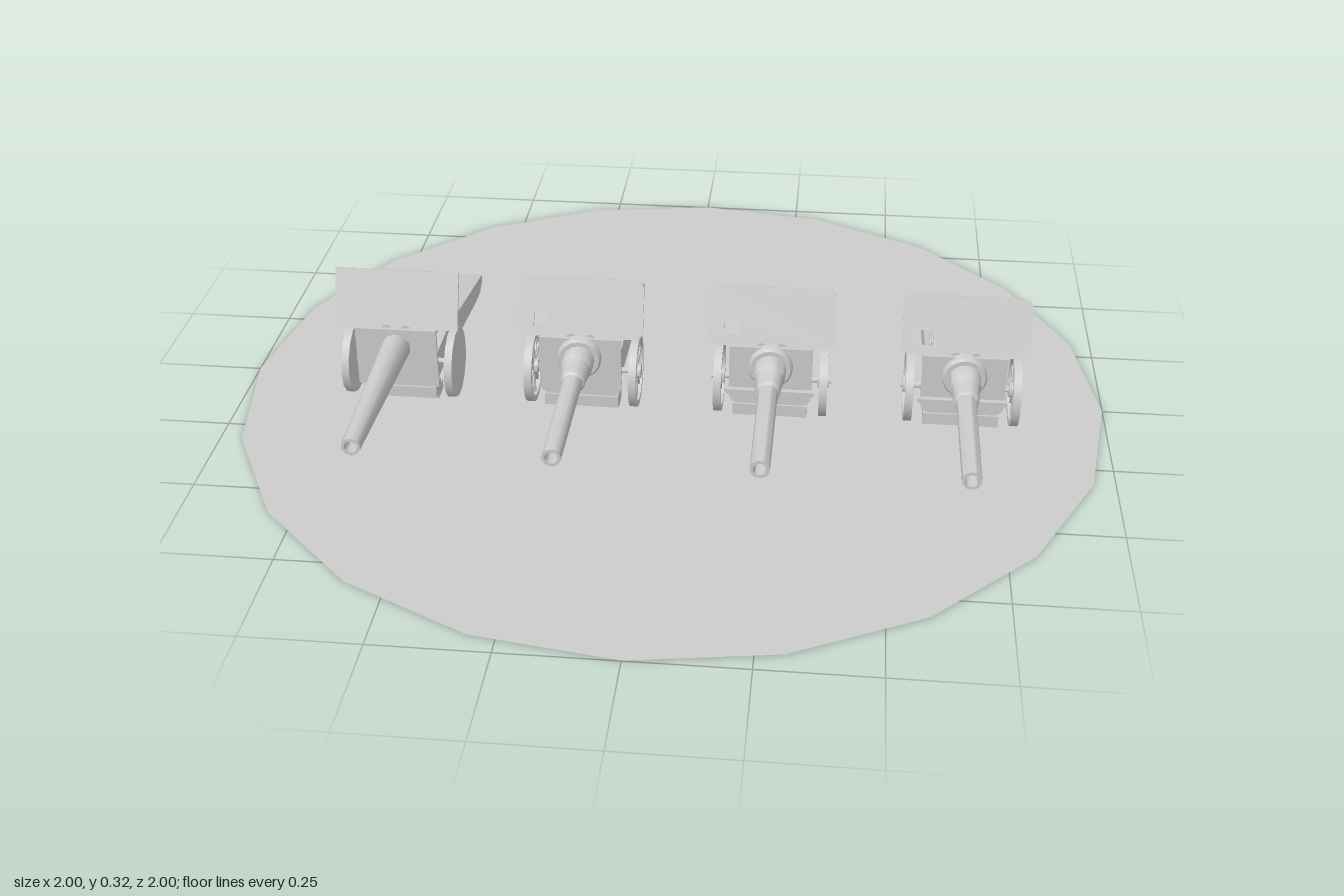
import * as THREE from 'three';
import { toCreasedNormals } from 'three/addons/utils/BufferGeometryUtils.js';

const material = new THREE.MeshStandardMaterial({ color: 0xcccccc, side: THREE.DoubleSide });

function add(group, name, geometry, x = 0, y = 0, z = 0) {
  const mesh = new THREE.Mesh(toCreasedNormals(geometry, 0.7), material);
  mesh.name = name;
  mesh.position.set(x, y, z);
  group.add(mesh);
  return mesh;
}
const box = (w, h, d) => new THREE.BoxGeometry(w, h, d);

// Turned part along z from [z, radius] pairs
const turned = (profile, sides) =>
  new THREE.LatheGeometry(profile.map(([z, r]) => new THREE.Vector2(r, z)), sides).rotateX(Math.PI / 2);

// Side profile in [z, y], given a width across x
function slab(profile, width) {
  const shape = new THREE.Shape(profile.map(([z, y]) => new THREE.Vector2(z, y)));
  return new THREE.ExtrudeGeometry(shape, { depth: width, bevelEnabled: false })
    .rotateY(-Math.PI / 2).translate(width / 2, 0, 0);
}

// Panel outline, standing on y = 0, with separate bottom and top corner radii
function panelShape(w, h, bottom, top) {
  const s = new THREE.Shape(), a = w / 2;
  s.moveTo(-a + bottom, 0).lineTo(a - bottom, 0);
  if (bottom) s.quadraticCurveTo(a, 0, a, bottom);
  s.lineTo(a, h - top);
  if (top) s.quadraticCurveTo(a, h, a - top, h);
  s.lineTo(-a + top, h);
  if (top) s.quadraticCurveTo(-a, h, -a, h - top);
  s.lineTo(-a, bottom);
  if (bottom) s.quadraticCurveTo(-a, 0, -a + bottom, 0);
  return s;
}
const plate = (shape, depth) => new THREE.ExtrudeGeometry(shape, { depth, bevelEnabled: false, curveSegments: 4 });

function makeWheel(detail, sides) {
  const wheel = new THREE.Group();
  wheel.name = 'wheel';
  if (detail === 0) {
    add(wheel, 'wheelDisc', new THREE.CylinderGeometry(0.083, 0.083, 0.018, 14).rotateZ(Math.PI / 2));
    return wheel;
  }
  const rim = turned([[-0.009, 0.07], [-0.009, 0.083], [0.009, 0.083], [0.009, 0.07], [-0.009, 0.07]], sides + 8);
  add(wheel, 'rim', rim.rotateY(Math.PI / 2));
  add(wheel, 'hub', new THREE.CylinderGeometry(0.017, 0.017, 0.026, sides).rotateZ(Math.PI / 2));
  for (let i = 0; i < 10; i++) {
    const spoke = add(wheel, 'spoke', box(0.008, 0.064, 0.009).translate(0, 0.042, 0));
    spoke.rotation.x = i * Math.PI / 5;
  }
  return wheel;
}

const trailTop = (z) => 0.105 + 0.175 * (z + 0.08);

function makeCarriage(gun, detail, sides) {
  // Sloping tail and the open box in front of it
  add(gun, 'trailTail', slab([[-0.19, 0.026], [-0.38, 0.004], [-0.43, 0.004], [-0.46, 0.02],
    [-0.46, trailTop(-0.46)], [-0.19, trailTop(-0.19)]], 0.16));
  for (const side of [-1, 1]) {
    add(gun, 'trailSide', slab([[-0.19, 0.026], [0.04, 0.045], [0.12, 0.045], [0.12, 0.11],
      [-0.05, 0.11], [-0.19, trailTop(-0.19)]], 0.022), side * 0.069);
    add(gun, 'foot', box(0.025, 0.025, 0.05), side * 0.07, 0.0125, 0.07);
    add(gun, 'cradleBracket', slab([[-0.06, 0.1], [0.11, 0.1], [0.09, 0.165], [-0.01, 0.165]], 0.014), side * 0.052);
    const wheel = makeWheel(detail, sides);
    wheel.position.set(side * 0.12, 0.088, 0.068);
    gun.add(wheel);
  }
  add(gun, 'trailFloor', slab([[-0.2, 0.025], [0.12, 0.045], [0.12, 0.055], [-0.2, 0.037]], 0.12));
  add(gun, 'frontBeam', box(0.17, 0.028, 0.05), 0, 0.034, 0.1);
  add(gun, 'axle', new THREE.CylinderGeometry(0.007, 0.007, detail > 1 ? 0.275 : 0.24, 8).rotateZ(Math.PI / 2), 0, 0.088, 0.068);

  // Hatch and grab handles on the tail
  if (detail > 0) {
    add(gun, 'hatch', box(0.08, 0.008, 0.042), 0, trailTop(-0.295) + 0.001, -0.295).rotation.x = -0.173;
    for (const side of [-1, 1]) {
      add(gun, 'handle', box(0.006, 0.006, 0.034), side * 0.035, trailTop(-0.365) + 0.012, -0.365).rotation.x = -0.173;
      for (const dz of [-0.014, 0.014]) {
        add(gun, 'handlePost', box(0.008, 0.014, 0.006), side * 0.035, trailTop(-0.365 + dz) + 0.005, -0.365 + dz);
      }
      add(gun, 'tailCleat', box(0.012, 0.012, 0.02), side * 0.07, trailTop(-0.365) + 0.004, -0.365);
    }
  }
}

function makeShield(gun, detail) {
  const radius = detail ? 0.022 : 0;
  const upper = panelShape(0.285, 0.135, radius, radius);
  if (detail) {
    // Sight window
    const hole = [[-0.107, 0.022], [-0.107, 0.055], [-0.074, 0.055], [-0.074, 0.022]];
    upper.holes.push(new THREE.Path(hole.map(([x, y]) => new THREE.Vector2(x, y))));
  }
  add(gun, 'upperShield', plate(upper, 0.006), 0, 0.196, 0.115).rotation.x = -0.38;
  add(gun, 'lowerShield', plate(panelShape(0.188, 0.145, detail ? 0.025 : 0, 0), 0.008), 0, 0.055, 0.122);
  if (detail > 1) add(gun, 'stepBar', box(0.2, 0.01, 0.014), 0, 0.09, 0.135);
  if (detail > 2) {
    // Riveted centre seam
    for (const side of [-1, 1]) {
      const seam = add(gun, 'shieldSeam', box(0.004, 0.13, 0.003).translate(0, 0.067, 0.007), side * 0.01, 0.196, 0.115);
      seam.rotation.x = -0.38;
    }
  }
}

function makeBarrel(gun, detail, sides) {
  const axisY = 0.155;
  // Tube with a hollow muzzle
  const muzzle = [[0.553, 0.021], [0.553, 0.014], [0.5, 0.014], [0.5, 0]];
  const tube = detail
    ? [[0.1, 0.036], [0.185, 0.035], [0.19, 0.031], [0.245, 0.028], [0.25, 0.022], ...muzzle]
    : [[0.1, 0.034], ...muzzle];
  add(gun, 'barrel', turned(tube, sides), 0, axisY);
  add(gun, 'barrelJacket', turned([[-0.04, 0], [-0.04, 0.034], [0.12, 0.036]], sides), 0, axisY);
  if (detail) {
    add(gun, 'cradleCollar', turned([[0.1, 0.05], [0.142, 0.05], [0.147, 0.046], [0.147, 0.03]], sides), 0, axisY);
  }
  // Breech and its block
  add(gun, 'breech', turned([[-0.115, 0], [-0.115, 0.037], [-0.105, 0.043], [-0.035, 0.044], [-0.03, 0.03]], sides), 0, axisY);
  add(gun, 'breechBlock', turned([[-0.13, 0], [-0.13, 0.02], [-0.114, 0.024]], sides), 0, axisY);
  add(gun, 'cradle', box(0.07, 0.04, 0.2), 0, 0.12, 0.01);

  // Recoil cylinders above the barrel
  for (const side of [-1, 1]) {
    add(gun, 'recoilCylinder', new THREE.CylinderGeometry(0.012, 0.012, 0.16, Math.max(8, sides / 2)).rotateX(Math.PI / 2),
      side * 0.022, 0.195, 0.04);
    add(gun, 'trunnion', new THREE.CylinderGeometry(0.018, 0.018, 0.02, sides).rotateZ(Math.PI / 2), side * 0.06, 0.14, 0.04);
    if (detail) add(gun, 'shieldBrace', slab([[0.02, 0.16], [0.028, 0.155], [0.1, 0.245], [0.093, 0.25]], 0.006), side * 0.06);
  }
  add(gun, 'recoilYoke', box(0.066, 0.026, 0.014), 0, 0.198, -0.04);

  // Sight and aiming handwheel on one side
  add(gun, 'sight', box(0.014, 0.02, 0.035), -0.038, 0.203, -0.06);
  if (detail) {
    add(gun, 'sightArm', box(0.012, 0.012, 0.05), -0.05, 0.175, -0.045);
    const handwheel = new THREE.TorusGeometry(0.02, 0.003, 6, sides).rotateY(Math.PI / 2);
    add(gun, 'handwheel', handwheel, -0.07, 0.13, -0.06);
    add(gun, 'handwheelShaft', box(0.03, 0.006, 0.006), -0.058, 0.13, -0.06);
    add(gun, 'handwheelSpoke', box(0.004, 0.038, 0.005), -0.07, 0.13, -0.06);
  }
}

export function createModel() {
  const model = new THREE.Group();
  model.name = 'gunDisplay';

  // Flat twenty-sided ground disc
  add(model, 'baseDisc', new THREE.CircleGeometry(1, 20).rotateX(-Math.PI / 2).rotateY(Math.PI / 2), 0, 0.001, 0);

  // Four field guns, from the simplest to the most detailed
  [-0.625, -0.2, 0.234, 0.667].forEach((x, detail) => {
    const gun = new THREE.Group();
    gun.name = 'fieldGun' + (detail + 1);
    const sides = [10, 16, 20, 24][detail];
    makeCarriage(gun, detail, sides);
    makeShield(gun, detail);
    makeBarrel(gun, detail, sides);
    gun.position.x = x;
    model.add(gun);
  });
  return model;
}
